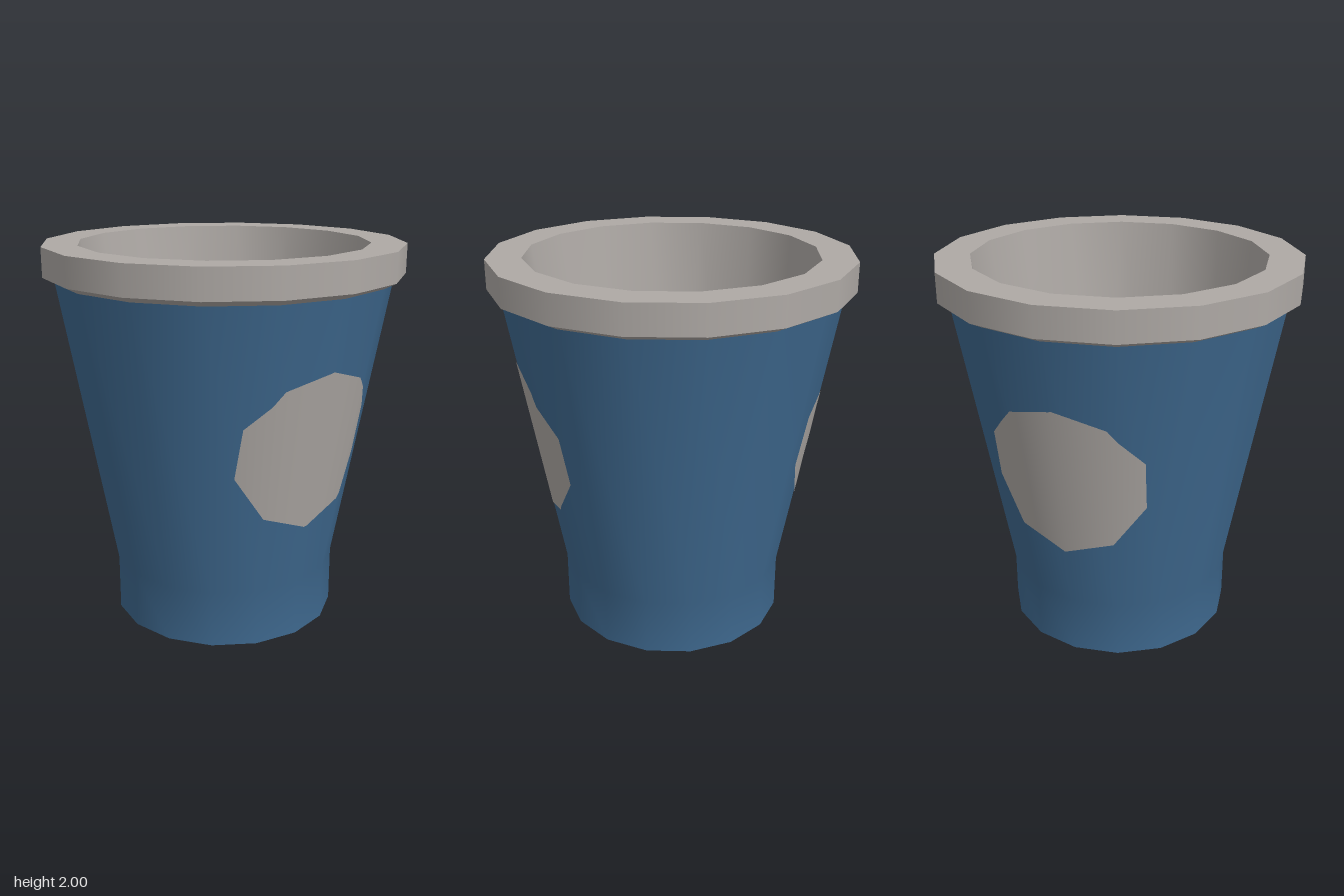
import * as THREE from 'three';

const SIDES = 16;
const STEP = (Math.PI * 2) / SIDES;

export function createModel() {
  const group = new THREE.Group();
  group.name = 'cup';

  const blue = new THREE.MeshStandardMaterial({ color: 0x3e688e });
  blue.name = 'blue';
  const grey = new THREE.MeshStandardMaterial({ color: 0xaea9a5 });
  grey.name = 'warm grey';

  const add = (name, geometry, material) => {
    const mesh = new THREE.Mesh(geometry, material);
    mesh.name = name;
    group.add(mesh);
    return mesh;
  };
  const lathe = (points) =>
    new THREE.LatheGeometry(points.map(([r, y]) => new THREE.Vector2(r, y)), SIDES);

  // Tapered body on a straight foot, closed underneath
  add('body', lathe([[0.6, 0], [0.6, 0.3], [0.87, 1.82]]), blue);
  add('base', new THREE.CircleGeometry(0.6, SIDES).rotateX(Math.PI / 2), blue);

  // Rim: one band per face so its edges stay sharp
  add('rimUnderside', lathe([[0.87, 1.82], [0.93, 1.85]]), grey);
  add('rimSide', lathe([[0.93, 1.85], [0.93, 2]]), grey);
  add('rimTop', lathe([[0.93, 2], [0.75, 2]]), grey);

  // Inside wall: sixteen-sided mouth narrowing to an eight-sided floor
  const floorY = 0.25;
  add('insideWall', insideWall(0.75, 2, 0.53, floorY), grey);
  const floor = add('insideFloor', new THREE.CircleGeometry(0.53, 8, -STEP / 2).rotateX(-Math.PI / 2), grey);
  floor.position.y = floorY;

  // Round badges following the body, front and back
  add('frontBadge', badge(), grey);
  add('backBadge', badge(), grey).rotation.y = Math.PI;

  return group;
}

function insideWall(topR, topY, lowR, lowY) {
  const pos = [];
  const index = [];
  const ring = (count, r, y, offset) => {
    for (let i = 0; i < count; i++) {
      const a = offset + (i / count) * Math.PI * 2;
      pos.push(r * Math.cos(a), y, r * Math.sin(a));
    }
  };
  ring(SIDES, topR, topY, 0);
  ring(8, lowR, lowY, STEP / 2);
  // Faces look inwards, towards the axis
  for (let k = 0; k < 8; k++) {
    const t0 = 2 * k, t1 = t0 + 1, t2 = (t0 + 2) % SIDES;
    const b0 = SIDES + k, b1 = SIDES + ((k + 1) % 8);
    index.push(t0, b0, t1, t1, b1, t2, t1, b0, b1);
  }
  const geometry = new THREE.BufferGeometry();
  geometry.setAttribute('position', new THREE.Float32BufferAttribute(pos, 3));
  geometry.setIndex(index);
  geometry.computeVertexNormals();
  return geometry;
}

// Ten-sided patch laid on the faceted taper in vertical columns
function badge() {
  const lift = 0.004, rows = 12;
  const corners = [
    [0.01, 1.465], [0.26, 1.385], [0.405, 1.195], [0.395, 0.935], [0.24, 0.715],
    [-0.015, 0.635], [-0.26, 0.73], [-0.405, 0.96], [-0.4, 1.22], [-0.24, 1.4],
  ];
  const xs = corners.map((c) => c[0]);
  const minX = Math.min(...xs), maxX = Math.max(...xs);
  for (let i = 1; i < 40; i++) xs.push(minX + ((maxX - minX) * i) / 40);
  xs.sort((a, b) => a - b);

  // Lowest and highest point of the polygon at a given x
  const span = (x) => {
    let lo = Infinity, hi = -Infinity;
    corners.forEach(([x0, y0], i) => {
      const [x1, y1] = corners[(i + 1) % corners.length];
      if (x < Math.min(x0, x1) - 1e-9 || x > Math.max(x0, x1) + 1e-9) return;
      const y = y0 + ((y1 - y0) * (x - x0)) / (x1 - x0);
      lo = Math.min(lo, y);
      hi = Math.max(hi, y);
    });
    return [lo, hi];
  };
  const slope = 0.27 / 1.52;
  const surfaceZ = (x, y) => {
    const r = 0.6 + slope * (y - 0.3);
    const ax = Math.abs(x);
    return Math.min(
      r - ax * Math.tan(STEP / 2),
      r * Math.cos(STEP) - (ax - r * Math.sin(STEP)) * Math.tan(STEP * 1.5)
    );
  };

  const pos = [], normals = [], index = [];
  xs.forEach((x, i) => {
    const [lo, hi] = span(x);
    for (let j = 0; j <= rows; j++) {
      const y = lo + ((hi - lo) * j) / rows;
      const z = surfaceZ(x, y);
      const n = new THREE.Vector3(x, 0, z).normalize().setY(-slope).normalize();
      pos.push(x, y, z + lift);
      normals.push(n.x, n.y, n.z);
      if (i > 0 && j > 0) {
        const d = i * (rows + 1) + j, c = d - 1, b = d - rows - 1, a = b - 1;
        index.push(a, c, d, a, d, b);
      }
    }
  });
  const geometry = new THREE.BufferGeometry();
  geometry.setAttribute('position', new THREE.Float32BufferAttribute(pos, 3));
  geometry.setAttribute('normal', new THREE.Float32BufferAttribute(normals, 3));
  geometry.setIndex(index);
  return geometry;
}
